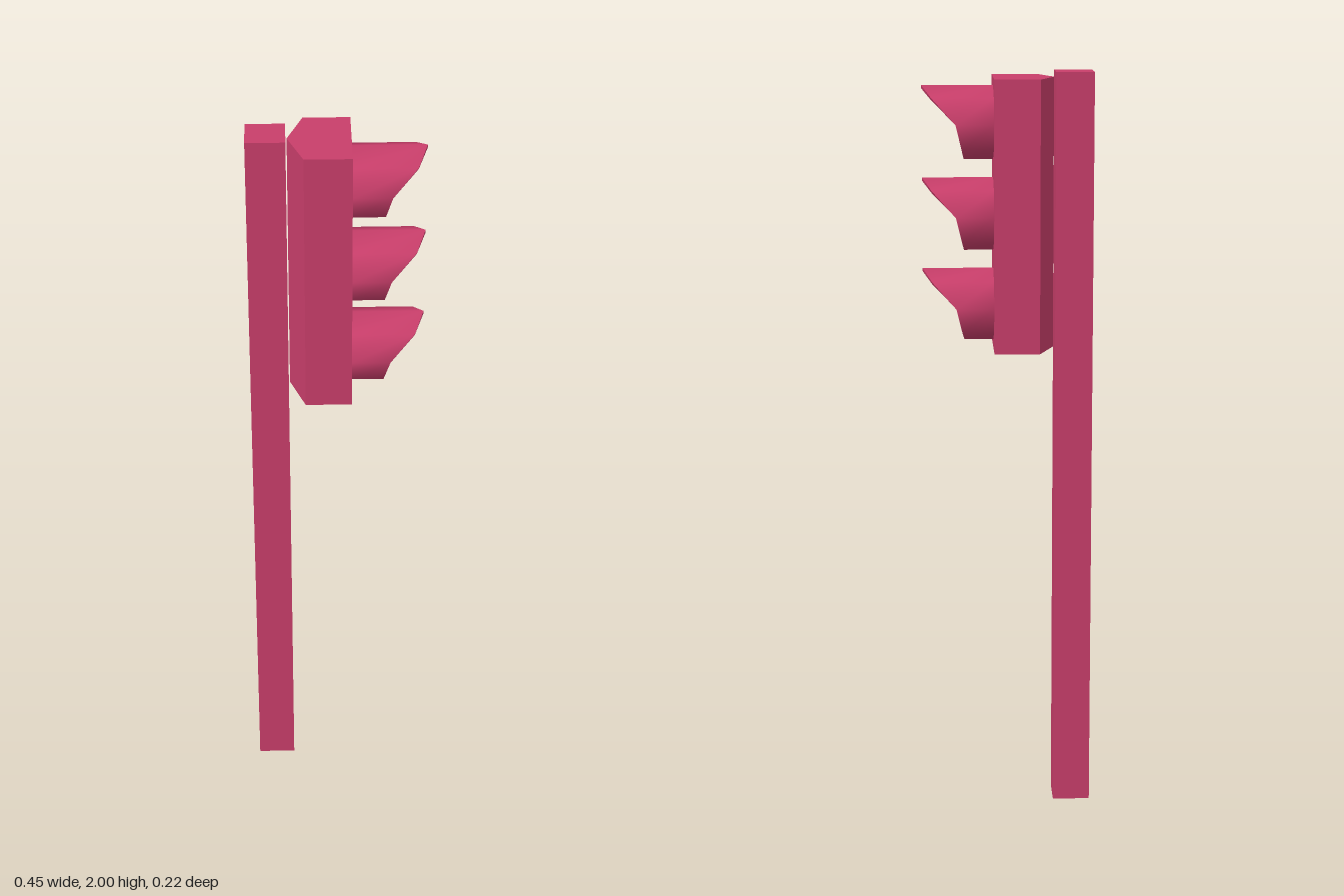
import * as THREE from 'three';
import { mergeGeometries } from 'three/addons/utils/BufferGeometryUtils.js';

const material = new THREE.MeshStandardMaterial({ color: 0xc83e6a, side: THREE.DoubleSide });
const SIDES = 8, FACE_X = 0.0375, LENS_X = 0.085;
const OUTER_R = 0.096, INNER_R = 0.088;
// how far the visor rim reaches at each corner, starting at the top
const RIM_X = [0.225, 0.2, 0.137, 0.121, 0.115, 0.121, 0.137, 0.2];

function part(name, geometry) {
  const mesh = new THREE.Mesh(geometry, material);
  mesh.name = name;
  return mesh;
}

// octagonal loop around the x axis, first corner on top
function loop(radius, xAt) {
  return Array.from({ length: SIDES }, (_, i) => {
    const a = (i / SIDES) * Math.PI * 2;
    return [xAt(i), radius * Math.cos(a), radius * Math.sin(a)];
  });
}

// closed band between two loops, smooth around
function band(from, to) {
  const g = new THREE.BufferGeometry();
  g.setAttribute('position', new THREE.Float32BufferAttribute([...from, ...to].flat(), 3));
  const index = [];
  for (let i = 0; i < SIDES; i++) {
    const j = (i + 1) % SIDES;
    index.push(i, j, SIDES + i, j, SIDES + j, SIDES + i);
  }
  g.setIndex(index);
  g.computeVertexNormals();
  return g;
}

function createLight(y) {
  const light = new THREE.Group();
  light.name = 'signalLight';
  const rim = (i) => RIM_X[i];
  const outerRim = loop(OUTER_R, rim), innerRim = loop(INNER_R, rim);
  light.add(part('visor', mergeGeometries([
    band(loop(OUTER_R, () => FACE_X), outerRim),
    band(outerRim, innerRim),
    band(innerRim, loop(INNER_R, () => LENS_X)),
  ])));
  // lens closing the visor tube
  const lens = part('lens', new THREE.CircleGeometry(INNER_R, SIDES).rotateY(Math.PI / 2));
  lens.position.x = LENS_X;
  light.add(lens);
  light.position.y = y;
  return light;
}

export function createModel() {
  const model = new THREE.Group();
  model.name = 'trafficLight';

  // square pole, open underneath
  const poleGeometry = new THREE.BoxGeometry(0.1, 2, 0.1);
  const faces = Array.from(poleGeometry.index.array);
  faces.splice(18, 6);
  poleGeometry.setIndex(faces);
  poleGeometry.clearGroups();
  const pole = part('pole', poleGeometry);
  pole.position.set(-0.175, 1, 0);
  model.add(pole);

  // housing with a wedge-shaped back
  const outline = new THREE.Shape([
    [FACE_X, -0.11], [FACE_X, 0.11], [-0.082, 0.11], [-0.122, 0], [-0.082, -0.11],
  ].map(([x, z]) => new THREE.Vector2(x, z)));
  const housing = part('housing',
    new THREE.ExtrudeGeometry(outline, { depth: 0.715, bevelEnabled: false }).rotateX(-Math.PI / 2));
  housing.position.y = 1.27;
  model.add(housing);

  for (let i = 0; i < 3; i++) model.add(createLight(1.868 - i * 0.24));
  return model;
}
